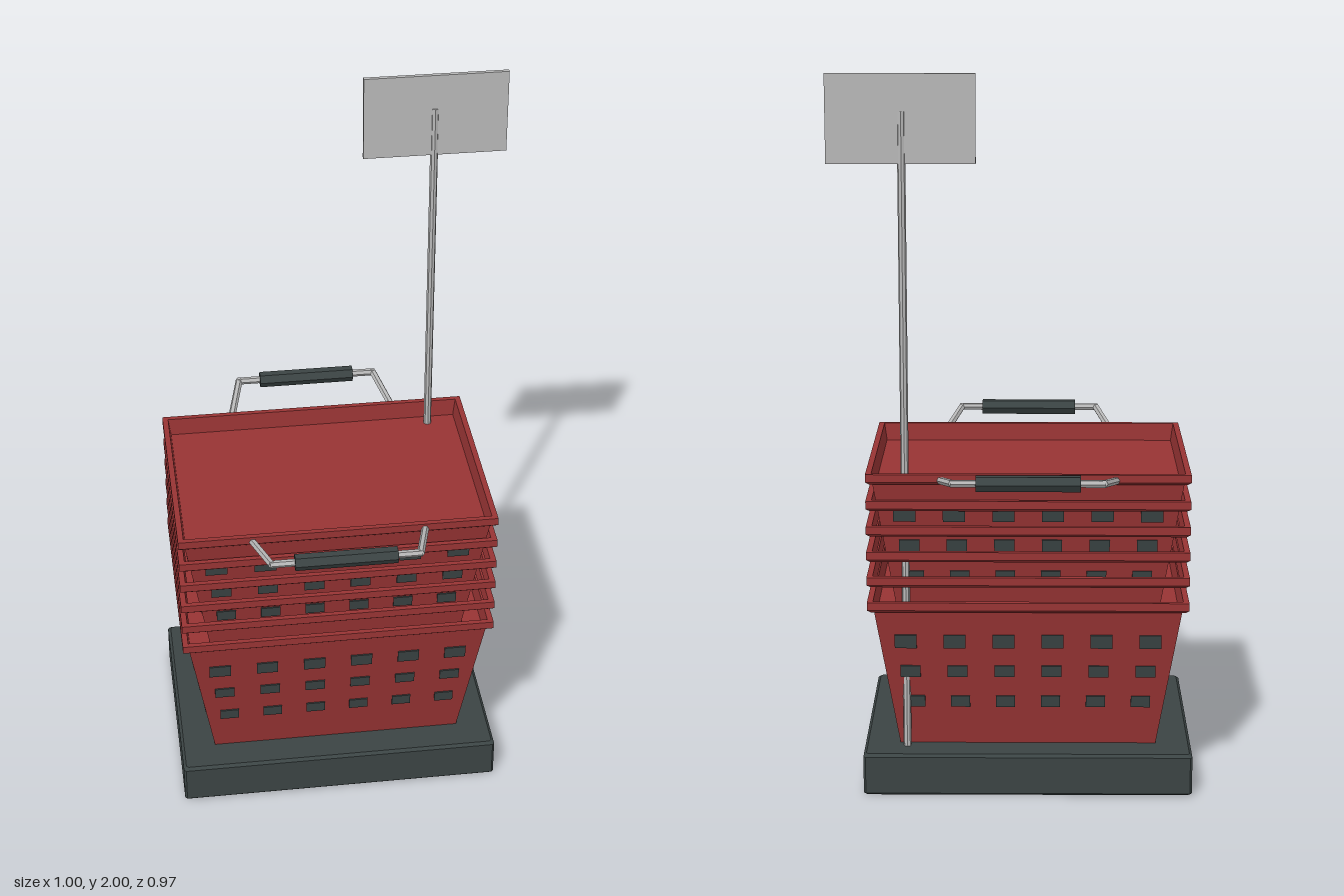
import * as THREE from 'three';

const mat = (name, color) => {
  const m = new THREE.MeshStandardMaterial({ color });
  m.name = name;
  return m;
};

// Sweeps a profile of [halfX, halfZ, y] around a rectangle with chamfered corners
function rectLathe(profile, chamfer = 0) {
  const rings = profile.map(([hx, hz, y]) => {
    const c = Math.min(chamfer, hx, hz);
    return [
      [hx, hz - c], [hx, c - hz], [hx - c, -hz], [c - hx, -hz],
      [-hx, c - hz], [-hx, hz - c], [c - hx, hz], [hx - c, hz],
    ].map(([x, z]) => new THREE.Vector3(x, y, z));
  });
  const points = [];
  const tri = (a, b, c) => {
    const area = b.clone().sub(a).cross(c.clone().sub(a)).length();
    if (area > 1e-9) points.push(a, b, c);
  };
  for (let i = 0; i < rings.length - 1; i++) {
    for (let j = 0; j < 8; j++) {
      const k = (j + 1) % 8;
      const [a, b, c, d] = [rings[i][j], rings[i][k], rings[i + 1][k], rings[i + 1][j]];
      tri(a, b, c);
      tri(a, c, d);
    }
  }
  const g = new THREE.BufferGeometry().setFromPoints(points);
  g.computeVertexNormals();
  return g;
}

// Bar with flat faces, standing along y
function bar(radius, length, sides) {
  const g = new THREE.CylinderGeometry(radius, radius, length, sides).toNonIndexed();
  g.computeVertexNormals();
  return g;
}

export function createModel() {
  const red = mat('basketRed', 0x983434);
  const dark = mat('darkSlate', 0x3b4444);
  const metal = mat('greyMetal', 0xb8b8b8);
  const model = new THREE.Group();
  model.name = 'basketStand';
  const CX = -0.041;

  const group = (parent, name, x = 0, y = 0, z = 0) => {
    const g = new THREE.Group();
    g.name = name;
    g.position.set(x, y, z);
    parent.add(g);
    return g;
  };
  const add = (parent, name, geometry, material, x = 0, y = 0, z = 0) => {
    const m = new THREE.Mesh(geometry, material);
    m.name = name;
    m.position.set(x, y, z);
    parent.add(m);
    return m;
  };

  // Stand base, a shell open underneath, with a foot block near each corner
  const base = group(model, 'base', CX);
  add(base, 'basePlinth', rectLathe([
    [0, 0, 0.1], [0.44, 0.319, 0.1], [0.44, 0.319, 0], [0.453, 0.332, 0],
    [0.459, 0.338, 0.006], [0.459, 0.338, 0.112], [0.451, 0.33, 0.12], [0, 0, 0.12],
  ], 0.006), dark);
  for (const sx of [-1, 1]) for (const sz of [-1, 1]) {
    add(base, 'foot', new THREE.BoxGeometry(0.075, 0.1, 0.075), dark, sx * 0.385, 0.051, sz * 0.265);
  }

  // Stack of baskets
  const stack = group(model, 'basketStack', CX);
  const H = 0.435; // height of one basket
  const halfX = (y) => 0.36 + 0.163 * y;
  const halfZ = (y) => 0.24 + 0.143 * y;

  // Lip around the top edge, from below the overhang over to the inside
  const lip = [
    [0.434, 0.305, H - 0.03], [0.4445, 0.3145, H - 0.022],
    [0.4445, 0.3145, H], [0.4285, 0.2995, H],
  ];

  function makeBasket(name, y0) {
    const basket = group(stack, name, 0, y0);
    add(basket, 'basketBody', rectLathe([
      [0, 0, 0], [halfX(0), halfZ(0), 0], [halfX(H - 0.03), halfZ(H - 0.03), H - 0.03],
      ...lip, [0.4215, 0.2935, H - 0.05], [0, 0, H - 0.05],
    ]), red);
    // Three rows of slots on each wall
    for (let side = 0; side < 4; side++) {
      const wall = group(basket, 'wallSlots');
      wall.rotation.y = side * Math.PI / 2;
      const long = side % 2 === 0;
      const half = long ? halfZ : halfX;
      const across = long ? halfX : halfZ;
      const count = long ? 6 : 4;
      const tilt = Math.atan(long ? 0.143 : 0.163);
      [[0.315, 0.061, 0.04], [0.224, 0.056, 0.034], [0.131, 0.054, 0.034]].forEach(([y, w, h]) => {
        const spacing = (long ? 0.136 : 0.144) * across(y) / across(0.315);
        for (let i = 0; i < count; i++) {
          const slot = add(wall, 'slot', new THREE.BoxGeometry(w, h, 0.008), dark,
            (i - (count - 1) / 2) * spacing, y, half(y));
          slot.rotation.x = tilt;
        }
      });
    }
  }
  makeBasket('bottomBasket', 0.12);
  makeBasket('topBasket', 0.485);

  // Rims of the nested baskets in between
  const nested = rectLathe([[0.422, 0.294, H - 0.03], ...lip, [0.422, 0.294, H - 0.03]]);
  for (let i = 1; i <= 4; i++) {
    add(stack, 'nestedRim', nested, red, 0, 0.12 + i * 0.0725, 0);
  }

  // Carrying handles at front and back
  const rod = (parent, a, b) => {
    const dir = b.clone().sub(a);
    const m = add(parent, 'handleRod', bar(0.0105, dir.length() + 0.008, 6), metal);
    m.position.copy(a).add(b).multiplyScalar(0.5);
    // keep one flat face turned upwards
    const y = dir.normalize();
    const z = new THREE.Vector3().crossVectors(new THREE.Vector3(0, 1, 0), y).normalize();
    const x = new THREE.Vector3().crossVectors(y, z);
    m.quaternion.setFromRotationMatrix(new THREE.Matrix4().makeBasis(x, y, z));
  };
  for (const turn of [0, Math.PI]) {
    const handle = group(model, turn ? 'backHandle' : 'frontHandle', CX);
    handle.rotation.y = turn;
    const path = [[-0.24, 0.903, 0.31], [-0.203, 0.934, 0.461], [0.203, 0.934, 0.461], [0.24, 0.903, 0.31]]
      .map((p) => new THREE.Vector3(...p));
    for (let i = 0; i < 3; i++) rod(handle, path[i], path[i + 1]);
    add(handle, 'grip', bar(0.023, 0.28, 6), dark, 0, 0.934, 0.461).rotation.z = Math.PI / 2;
  }

  // Sign on its pole
  add(model, 'signPole', bar(0.011, 1.79, 8), metal, 0.298, 1.005, -0.261);
  add(model, 'signPanel', new THREE.BoxGeometry(0.4, 0.239, 0.012), metal, 0.3, 1.8805, -0.261);

  return model;
}
